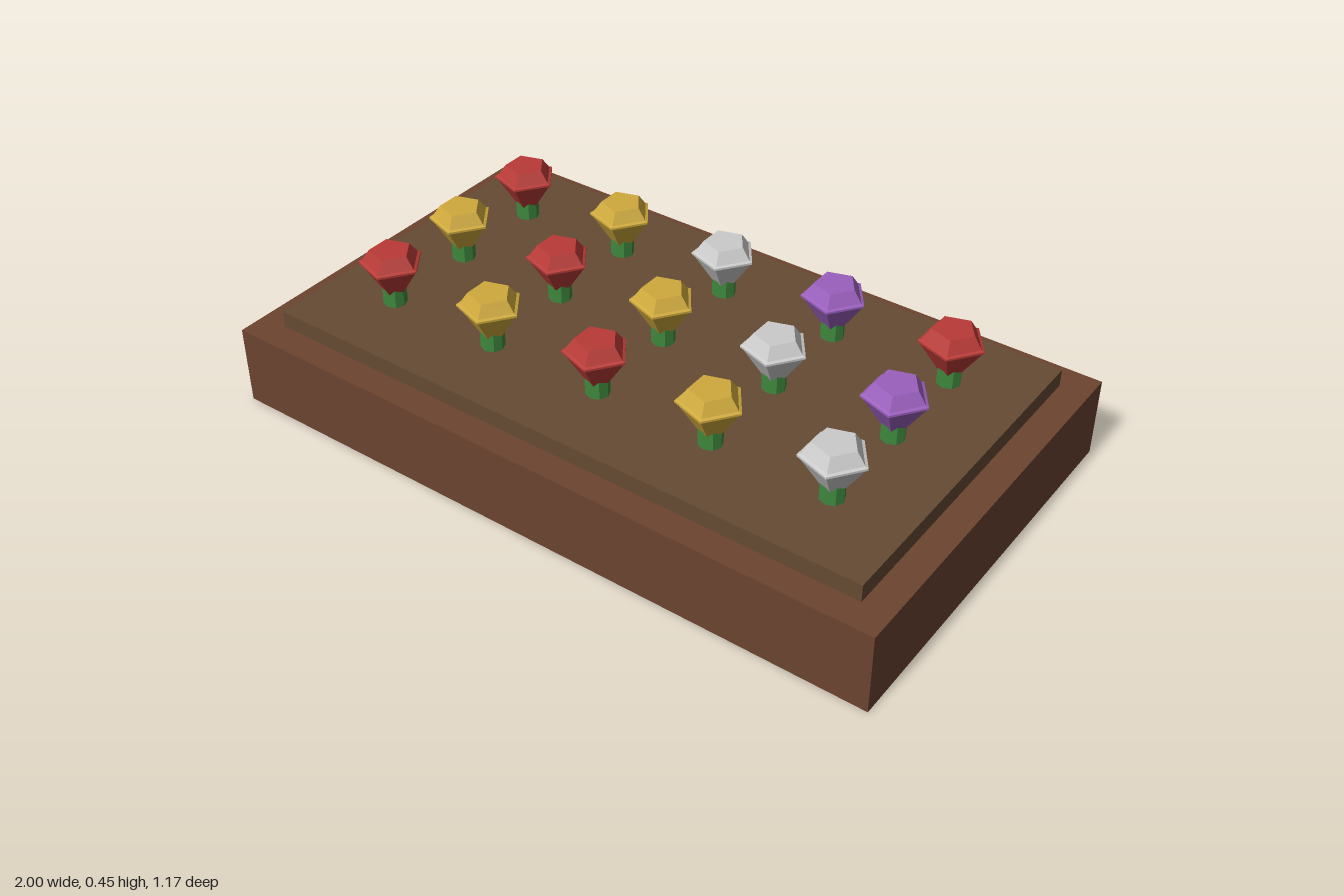
import * as THREE from 'three';

const paint = (color) => new THREE.MeshStandardMaterial({ color, flatShading: true });

function box(name, w, h, d, y, material) {
  const mesh = new THREE.Mesh(new THREE.BoxGeometry(w, h, d), material);
  mesh.name = name;
  mesh.position.y = y + h / 2;
  return mesh;
}

export function createModel() {
  const model = new THREE.Group();
  model.name = 'flowerBed';

  // Planter block with a raised slab of soil
  const soilTop = 0.284;
  model.add(box('planter', 2, 0.234, 1.166, 0, paint(0x6b4430)));
  model.add(box('soil', 1.834, 0.05, 1.004, 0.234, paint(0x654b33)));

  // Five-sided gem-like bloom: narrow foot, thin rim, flat crown (heights above the soil)
  const profile = [
    [0, 0.02], [0.018, 0.02], [0.084, 0.121], [0.09, 0.125], [0.09, 0.131],
    [0.081, 0.134], [0.058, 0.167], [0, 0.167],
  ].map(([r, y]) => new THREE.Vector2(r, y));
  const bloomGeometry = new THREE.LatheGeometry(profile, 5, Math.PI / 2);
  const stemGeometry = new THREE.CylinderGeometry(0.033, 0.033, 0.07, 8);
  const stemMaterial = paint(0x3f8a3f);
  const petals = {
    R: paint(0xb83a36), Y: paint(0xcfa93c), W: paint(0xd8d8d6), P: paint(0x9a5fbd),
  };

  // Rows from back to front, each from right to left
  ['RYWPR', 'YRYWP', 'RYRYW'].forEach((row, j) => {
    [...row].forEach((key, i) => {
      const flower = new THREE.Group();
      flower.name = `flower${j + 1}_${i + 1}`;
      const stem = new THREE.Mesh(stemGeometry, stemMaterial);
      stem.name = 'stem';
      stem.position.y = 0.035;
      const bloom = new THREE.Mesh(bloomGeometry, petals[key]);
      bloom.name = 'bloom';
      flower.add(stem, bloom);
      flower.position.set((i - 2) * 0.351, soilTop, (j - 1) * 0.284);
      model.add(flower);
    });
  });

  return model;
}
